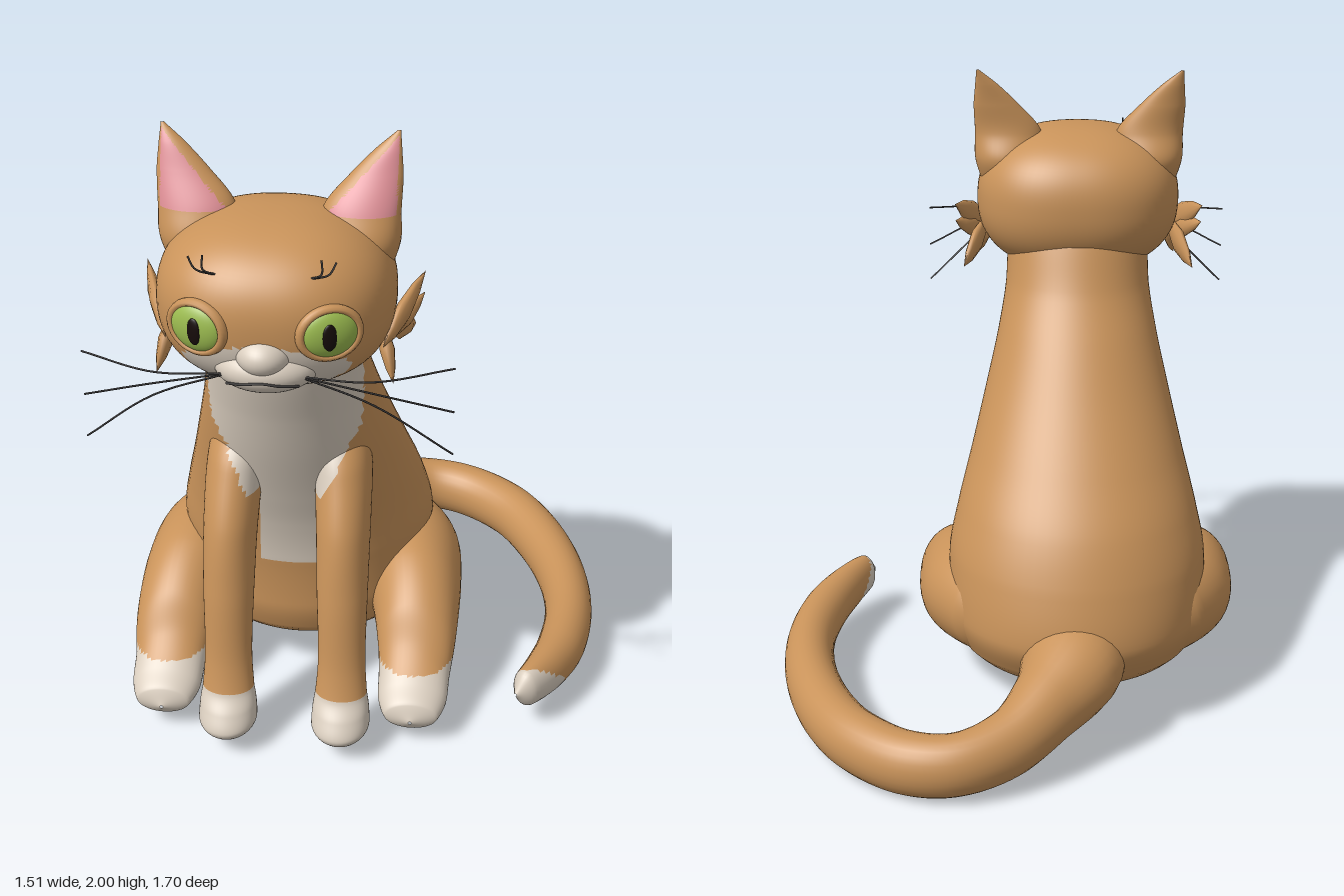
import * as THREE from 'three';

const mat = (name, color) => Object.assign(new THREE.MeshStandardMaterial({ color }), { name });

export function createModel() {
  const fur = mat('ginger fur', 0xc9935a), white = mat('cream fur', 0xd9cdbe), pink = mat('pink inner ear', 0xdf8f96);
  const green = mat('green iris', 0x9cbc50), black = mat('black pupil', 0x160c0a), dark = mat('dark hair', 0x3c3a3a);
  const V = (x, y, z) => new THREE.Vector3(x, y, z);
  const UP = V(0, 1, 0);
  const model = new THREE.Group();
  model.name = 'cat';
  const cat = new THREE.Group();
  cat.name = 'catBody';
  cat.position.x = -0.23;
  model.add(cat);

  const add = (name, geo, material, parent = cat) => {
    const m = new THREE.Mesh(geo, material);
    m.name = name;
    parent.add(m);
    return m;
  };

  // Sort faces into two material groups by a rule on face centre and normal
  const paint = (geo, rule) => {
    const p = geo.attributes.position, ix = geo.index.array, sets = [[], []];
    for (let i = 0; i < ix.length; i += 3) {
      const [a, b, c] = [0, 1, 2].map(k => V().fromBufferAttribute(p, ix[i + k]));
      const n = V().crossVectors(b.clone().sub(a), c.clone().sub(a)).normalize();
      const mid = a.add(b).add(c).divideScalar(3);
      sets[rule(mid, n) ? 1 : 0].push(ix[i], ix[i + 1], ix[i + 2]);
    }
    geo.setIndex([...sets[0], ...sets[1]]);
    geo.addGroup(0, sets[0].length, 0);
    geo.addGroup(sets[0].length, sets[1].length, 1);
    return geo;
  };

  // Smooth skin over elliptical sections [x, y, z, ra, rb].
  // Upright: ra is along z and rb along x. Otherwise ra is sideways and rb along y.
  const loft = (sections, upright, steps = 64, sides = 40) => {
    const path = new THREE.CatmullRomCurve3(sections.map(s => V(s[0], s[1], s[2])));
    const radii = new THREE.CatmullRomCurve3(sections.map(s => V(s[3], s[4], 0)));
    const pos = [], idx = [];
    for (let i = 0; i <= steps; i++) {
      const t = i / steps, c = path.getPoint(t), r = radii.getPoint(t);
      const dir = path.getTangent(t).setY(0).normalize();
      const u = upright ? V(0, 0, 1) : V().crossVectors(UP, dir);
      const v = upright ? V(1, 0, 0) : UP;
      for (let j = 0; j < sides; j++) {
        const a = j / sides * Math.PI * 2;
        const q = c.clone().addScaledVector(u, Math.max(r.x, 0.001) * Math.cos(a))
          .addScaledVector(v, Math.max(r.y, 0.001) * Math.sin(a));
        pos.push(q.x, q.y, q.z);
        if (i < steps) {
          const k = (j + 1) % sides, A = i * sides, B = A + sides;
          idx.push(A + j, A + k, B + k, A + j, B + k, B + j);
        }
      }
    }
    const g = new THREE.BufferGeometry();
    g.setAttribute('position', new THREE.Float32BufferAttribute(pos, 3));
    g.setIndex(idx);
    g.computeVertexNormals();
    return g;
  };

  const ellipsoid = (rx, ry, rz) => new THREE.SphereGeometry(1, 40, 28).scale(rx, ry, rz);
  const hair = (name, pts, r = 0.003) =>
    add(name, new THREE.TubeGeometry(new THREE.CatmullRomCurve3(pts), 14, r, 5), dark);

  // Torso with cream bib
  const bib = c => {
    const x = Math.abs(c.x);
    if (c.y > 1.08) return c.z > 0.41;
    if (c.y > 0.84) return c.z > 0.3 && x < 0.11 + (c.y - 0.84) * 0.5;
    return c.y > 0.5 && c.z > 0.2 && x < 0.105;
  };
  const torso = loft([
    [0, 0.13, -0.05, 0.01, 0.01], [0, 0.14, -0.055, 0.28, 0.3], [0, 0.2, -0.06, 0.36, 0.38],
    [0, 0.32, -0.07, 0.4, 0.42], [0, 0.5, -0.04, 0.385, 0.42], [0, 0.65, 0.01, 0.365, 0.39],
    [0, 0.8, 0.09, 0.335, 0.35], [0, 1.0, 0.205, 0.295, 0.3], [0, 1.15, 0.285, 0.265, 0.265],
    [0, 1.3, 0.365, 0.235, 0.24], [0, 1.45, 0.42, 0.22, 0.235],
  ], true, 90, 72);
  add('torso', paint(torso, bib), [fur, white]);

  // Head: a slightly squared ellipsoid with cream cheeks
  const head = new THREE.SphereGeometry(1, 80, 60);
  const hp = head.attributes.position;
  for (let i = 0; i < hp.count; i++) {
    const p = V().fromBufferAttribute(hp, i), n = 2.35;
    p.multiplyScalar((Math.abs(p.x) ** n + Math.abs(p.y) ** n + Math.abs(p.z) ** n) ** (-1 / n));
    hp.setXYZ(i, p.x * 0.34, 1.56 + p.y * 0.245, 0.495 + p.z * 0.315);
  }
  head.computeVertexNormals();
  add('head', paint(head, c => c.z > 0.6 && (c.x / 0.235) ** 2 + ((c.y - 1.445) / 0.085) ** 2 < 1), [fur, white]);

  // Muzzle, nose and mouth
  add('muzzle', ellipsoid(0.15, 0.075, 0.12), white).position.set(0, 1.445, 0.72);
  add('nose', ellipsoid(0.085, 0.065, 0.105), white).position.set(0, 1.495, 0.745);
  hair('mouth', [-0.1, -0.05, 0, 0.05, 0.1].map(x =>
    V(x, 1.43 + 0.01 * Math.cos(x * 30), 0.721 + 0.12 * Math.sqrt(1 - (x / 0.15) ** 2 - 0.03))), 0.004);

  // Tail curling round to the left, with cream tip
  const tail = loft([
    [-0.01, 0.27, -0.25, 0.14, 0.14], [0.02, 0.26, -0.42, 0.165, 0.145], [0.11, 0.2, -0.58, 0.115, 0.125],
    [0.22, 0.14, -0.7, 0.09, 0.11], [0.37, 0.11, -0.77, 0.082, 0.1], [0.52, 0.1, -0.745, 0.087, 0.1],
    [0.68, 0.1, -0.625, 0.09, 0.1], [0.785, 0.1, -0.465, 0.09, 0.098], [0.87, 0.105, -0.235, 0.085, 0.095],
    [0.9, 0.115, 0, 0.08, 0.088], [0.875, 0.125, 0.21, 0.078, 0.085], [0.825, 0.135, 0.35, 0.066, 0.082],
    [0.76, 0.148, 0.47, 0.045, 0.068], [0.73, 0.15, 0.51, 0.005, 0.005],
  ], false, 100, 28);
  add('tail', paint(tail, c => c.x > 0.6 && c.z > 0.32 + (c.y - 0.06) * 0.9), [fur, white]);

  // Flattened leaf-shaped tuft running from a to b
  const tuft = (a, b, w) => {
    const pts = [[0, -0.5], [0.7, -0.3], [1, -0.05], [0.65, 0.25], [0, 0.5]].map(p => new THREE.Vector2(...p));
    const m = add('cheekTuft', new THREE.LatheGeometry(pts, 10), fur);
    const y = b.clone().sub(a), len = y.length();
    y.normalize();
    const z = V().crossVectors(V(1, 0, 0), y).normalize();
    m.quaternion.setFromRotationMatrix(new THREE.Matrix4().makeBasis(V().crossVectors(y, z), y, z));
    m.scale.set(0.022, len, w);
    m.position.copy(a).add(b).multiplyScalar(0.5);
  };

  for (const s of [-1, 1]) {
    const side = s > 0 ? 'left' : 'right';
    const flip = rows => rows.map(([x, ...rest]) => [x * s, ...rest]);

    // Front leg and paw
    const front = loft(flip([
      [0.18, 0.055, 0.64, 0.01, 0.01], [0.18, 0.065, 0.64, 0.075, 0.07], [0.18, 0.1, 0.635, 0.098, 0.092],
      [0.18, 0.15, 0.62, 0.085, 0.09], [0.18, 0.2, 0.605, 0.062, 0.082], [0.18, 0.3, 0.58, 0.06, 0.075],
      [0.178, 0.55, 0.525, 0.082, 0.08], [0.175, 0.75, 0.45, 0.115, 0.085],
      [0.165, 0.92, 0.36, 0.125, 0.09], [0.14, 1.06, 0.3, 0.08, 0.08],
    ]), true, 80);
    add(side + 'FrontLeg', paint(front, c => c.y < 0.205 || (c.y > 0.84 && bib(c))), [fur, white]);

    // Folded hind leg and foot
    const hind = loft(flip([
      [0.24, 0.33, -0.32, 0.01, 0.01], [0.28, 0.33, -0.2, 0.13, 0.14], [0.345, 0.32, 0, 0.175, 0.175],
      [0.385, 0.295, 0.2, 0.15, 0.175], [0.4, 0.24, 0.36, 0.128, 0.135], [0.4, 0.165, 0.45, 0.115, 0.1],
      [0.4, 0.125, 0.53, 0.11, 0.072], [0.4, 0.108, 0.595, 0.085, 0.048], [0.4, 0.1, 0.62, 0.005, 0.005],
    ]), false, 80);
    add(side + 'HindLeg', paint(hind, c => c.z > 0.36 && c.y < 0.205 && c.z + c.y * 0.5 > 0.46), [fur, white]);

    // Ear with pink inside
    const ear = loft(flip([
      [0.235, 1.6, 0.44, 0.06, 0.08], [0.235, 1.7, 0.435, 0.095, 0.11], [0.235, 1.79, 0.432, 0.062, 0.11],
      [0.273, 1.88, 0.408, 0.036, 0.075], [0.305, 1.95, 0.388, 0.02, 0.037], [0.333, 2.0, 0.37, 0.003, 0.004],
    ]), true, 70);
    add(side + 'Ear', paint(ear, (c, n) => {
      const x = c.x * s;
      return n.z > 0 && c.y > 1.785 && x < 0.334 && x > 0.155 + (c.y - 1.8) * 0.95;
    }), [fur, pink]);

    // Eye with lid rim, iris and slit pupil
    const eye = new THREE.Group();
    eye.name = side + 'Eye';
    eye.position.set(0.18 * s, 1.568, 0.768);
    eye.rotation.y = 0.42 * s;
    cat.add(eye);
    add('eyelid', new THREE.TorusGeometry(0.083, 0.014, 10, 40).scale(1, 0.87, 1.3), fur, eye);
    add('iris', ellipsoid(0.083, 0.072, 0.034), green, eye);
    add('pupil', ellipsoid(0.021, 0.04, 0.008), black, eye).position.set(-0.008 * s, 0, 0.03);

    // Whiskers and brow hairs
    for (const [mid, end, z] of [[1.445, 1.455, 0.73], [1.41, 1.32, 0.735], [1.375, 1.19, 0.745]])
      hair('whisker', [V(0.1 * s, 1.44, 0.79), V(0.3 * s, mid, 0.81), V(0.52 * s, end, z)]);
    for (const [x, y] of [[0.2, 1.77], [0.16, 1.775]])
      hair('browHair', [V(0.125 * s, 1.71, 0.735), V((0.08 + x / 2) * s, 1.735, 0.755), V(x * s, y, 0.75)]);

    // Cheek tufts
    tuft(V(0.31 * s, 1.44, 0.6), V(0.41 * s, 1.56, 0.34), 0.045);
    tuft(V(0.31 * s, 1.47, 0.5), V(0.38 * s, 1.36, 0.29), 0.05);
    tuft(V(0.3 * s, 1.48, 0.52), V(0.34 * s, 1.33, 0.61), 0.04);
    tuft(V(0.32 * s, 1.43, 0.52), V(0.41 * s, 1.5, 0.36), 0.035);
  }
  return model;
}
